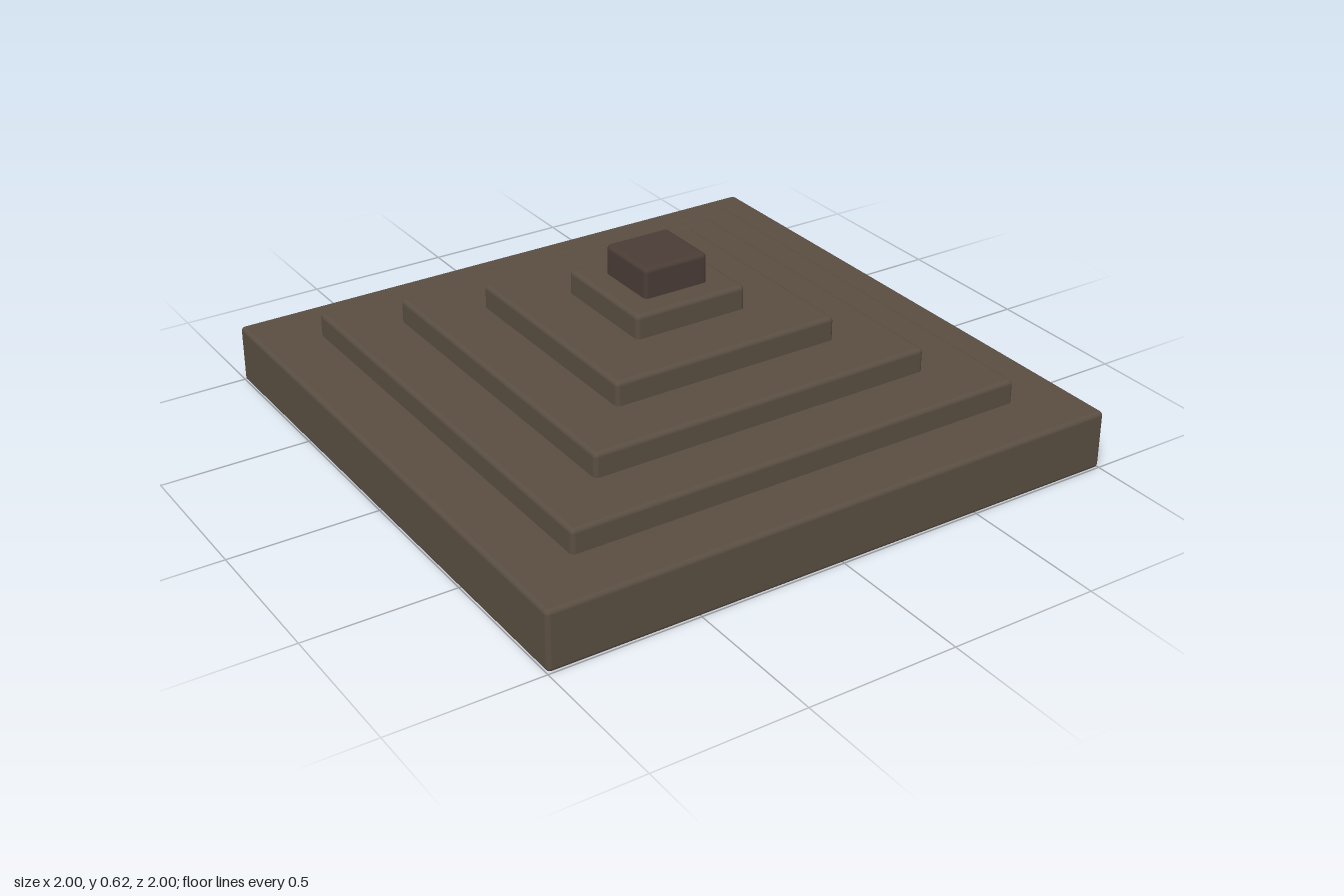
import * as THREE from 'three';
import { RoundedBoxGeometry } from 'three/addons/geometries/RoundedBoxGeometry.js';

export function createModel() {
  const group = new THREE.Group();
  const stone = new THREE.MeshStandardMaterial({ color: 0x5a4e42 });
  const darkStone = new THREE.MeshStandardMaterial({ color: 0x4a3d36 });

  // square slab with softly rounded edges, spanning bottom to top
  const slab = (name, width, bottom, top, material) => {
    const geometry = new RoundedBoxGeometry(width, top - bottom, width, 3, 0.015);
    const mesh = new THREE.Mesh(geometry, material);
    mesh.name = name;
    mesh.position.y = (bottom + top) / 2;
    group.add(mesh);
  };

  slab('base', 2, 0, 0.2, stone);

  // stepped tiers, each sunk slightly into the one below
  const sink = 0.02;
  for (let i = 0; i < 4; i++) {
    const bottom = 0.2 + i * 0.08;
    slab(`tier${i + 1}`, 1.6 - i * 0.4, bottom - sink, bottom + 0.08, stone);
  }

  // darker block on the summit
  slab('capstone', 0.23, 0.52 - sink, 0.62, darkStone);

  return group;
}
